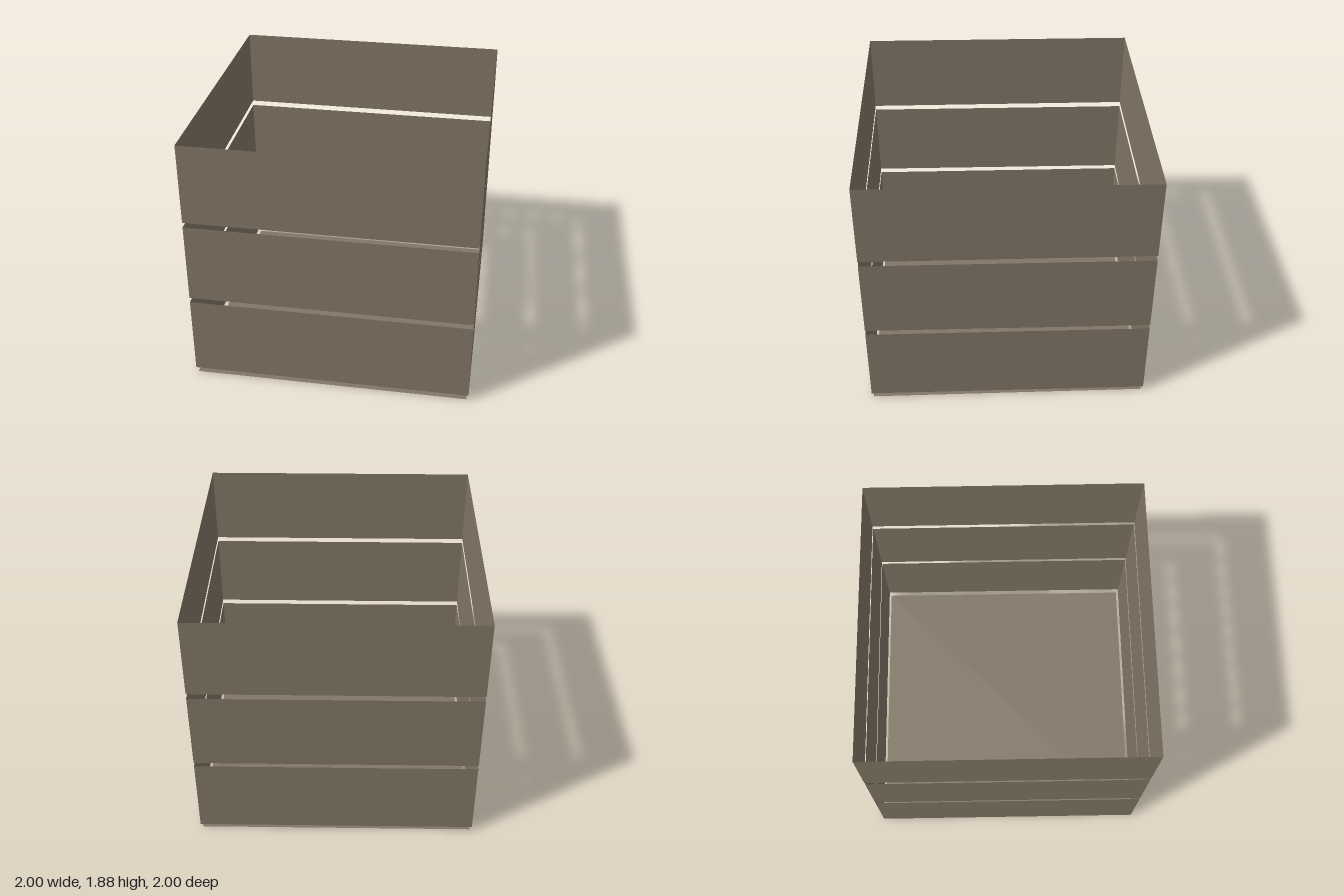
import * as THREE from 'three';

const wood = new THREE.MeshStandardMaterial({ color: 0x817565, side: THREE.DoubleSide });
wood.name = 'weathered wood';

// One thin upright board; its top and bottom edges follow the given rules of z
function board(name, width, [x, z], turn, bottom, top) {
  const geometry = new THREE.PlaneGeometry(width, 1);
  geometry.rotateY(turn).translate(x, 0, z);
  const p = geometry.attributes.position;
  for (let i = 0; i < p.count; i++) {
    const edge = p.getY(i) > 0 ? top : bottom;
    p.setY(i, edge(p.getZ(i)));
  }
  geometry.computeVertexNormals();
  const mesh = new THREE.Mesh(geometry, wood);
  mesh.name = name;
  return mesh;
}

// Height running evenly from the back to the front
const slope = (back, front) => (z) => THREE.MathUtils.lerp(back, front, (z + 1) / 2);

export function createModel() {
  const crate = new THREE.Group();
  crate.name = 'crate';

  // Floor panel, slightly smaller than the walls
  const floor = new THREE.Mesh(new THREE.PlaneGeometry(1.975, 1.975).rotateX(-Math.PI / 2), wood);
  floor.name = 'floor';
  crate.add(floor);

  // Three rings of boards, slightly lower at the back
  const rings = [
    ['lowerRing', slope(0.038, 0.045), slope(0.624, 0.634)],
    ['middleRing', slope(0.656, 0.671), slope(1.244, 1.256)],
    ['upperRing', slope(1.284, 1.292), slope(1.87, 1.88)],
  ];
  const sides = [
    ['frontBoard', [0, 1], 0],
    ['leftBoard', [1, 0], Math.PI / 2],
    ['backBoard', [0, -1], Math.PI],
    ['rightBoard', [-1, 0], -Math.PI / 2],
  ];
  for (const [ringName, bottom, top] of rings) {
    const ring = new THREE.Group();
    ring.name = ringName;
    for (const [name, at, turn] of sides) ring.add(board(name, 2, at, turn, bottom, top));
    crate.add(ring);
  }
  return crate;
}
